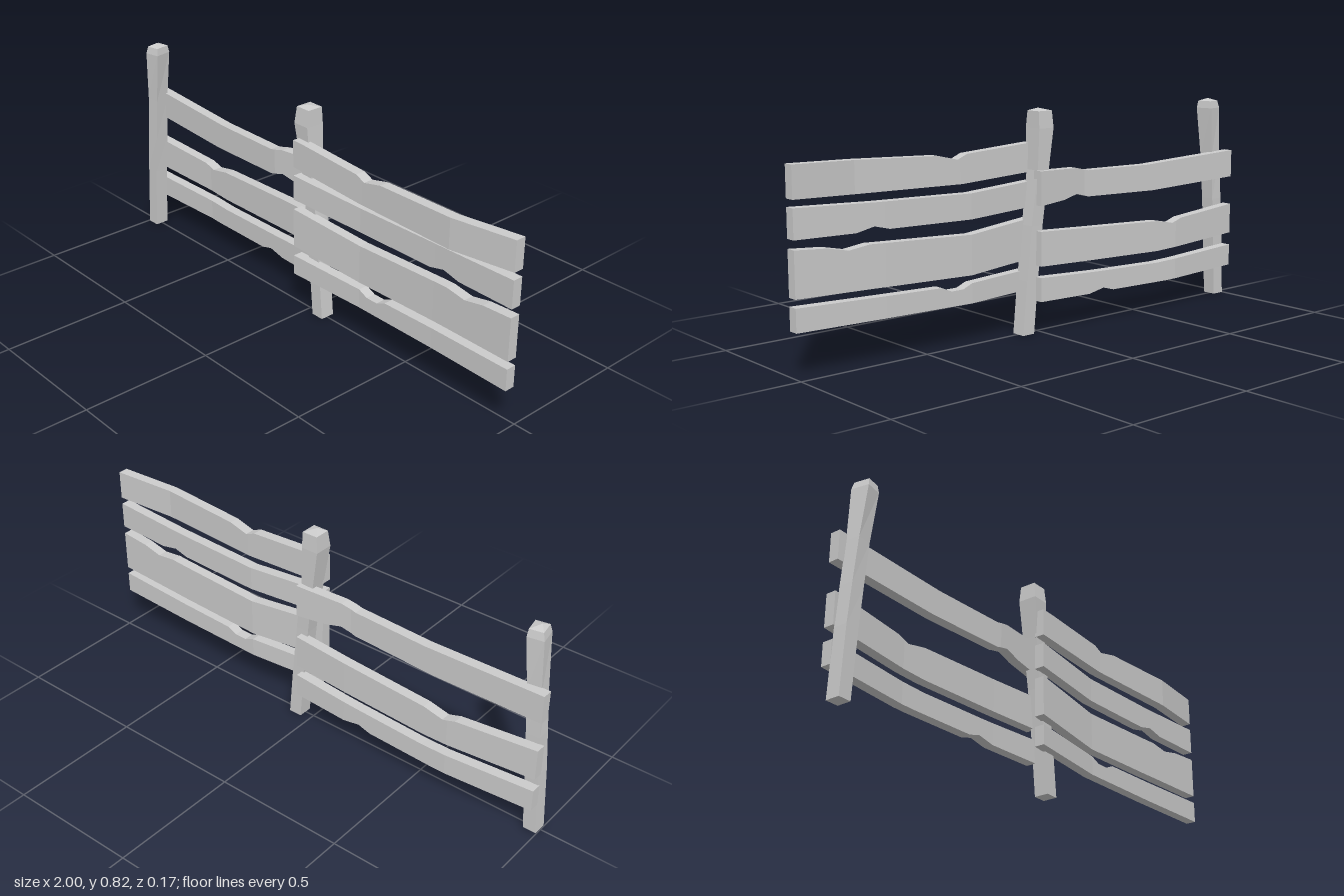
import * as THREE from 'three';

const material = new THREE.MeshStandardMaterial({ color: 0xcccccc, flatShading: true });

// Skin a list of four-cornered cross-sections and close both ends.
function loft(name, sections, peak) {
  const pos = [];
  const tri = (a, b, c) => pos.push(...a, ...b, ...c);
  for (let i = 0; i < sections.length - 1; i++) {
    const a = sections[i], b = sections[i + 1];
    for (let k = 0; k < 4; k++) {
      const n = (k + 1) % 4;
      tri(a[k], a[n], b[n]);
      tri(a[k], b[n], b[k]);
    }
  }
  const first = sections[0], last = sections[sections.length - 1];
  tri(first[0], first[2], first[1]);
  tri(first[0], first[3], first[2]);
  if (peak) {
    for (let k = 0; k < 4; k++) tri(last[k], last[(k + 1) % 4], peak);
  } else {
    tri(last[0], last[1], last[2]);
    tri(last[0], last[2], last[3]);
  }
  const geometry = new THREE.BufferGeometry();
  geometry.setAttribute('position', new THREE.Float32BufferAttribute(pos, 3));
  geometry.computeVertexNormals();
  const mesh = new THREE.Mesh(geometry, material);
  mesh.name = name;
  return mesh;
}

// Piecewise linear value of a list of [x, value] points.
function at(points, x) {
  for (let i = 1; i < points.length; i++) {
    const [x0, v0] = points[i - 1], [x1, v1] = points[i];
    if (x <= x1) return v0 + (v1 - v0) * (x - x0) / (x1 - x0);
  }
  return points[points.length - 1][1];
}

// Plank from its bottom edge, top edge and sideways bow.
function plank(name, bottom, top, bow) {
  const xs = [...new Set([...bottom, ...top, ...bow].map(p => p[0]))].sort((a, b) => a - b);
  const half = 0.0195;
  return loft(name, xs.map(x => {
    const lo = at(bottom, x), hi = at(top, x), z = at(bow, x);
    return [[x, lo, z - half], [x, hi, z - half], [x, hi, z + half], [x, lo, z + half]];
  }));
}

// Post from rows of [y, x, z, half width, half depth, twist].
function post(name, rows, peak) {
  return loft(name, rows.map(([y, x, z, w, d, twist]) => {
    const c = Math.cos(twist), s = Math.sin(twist);
    return [[-1, 1], [1, 1], [1, -1], [-1, -1]].map(([i, j]) =>
      [x + i * w * c + j * d * s, y, z - i * w * s + j * d * c]);
  }), peak);
}

export function createModel() {
  const group = new THREE.Group();
  group.name = 'brokenFence';

  // Crooked posts, flared near the top
  group.add(post('leftPost', [
    [0, -0.972, 0, 0.025, 0.027, 0],
    [0.25, -0.957, -0.002, 0.026, 0.027, 0],
    [0.4, -0.945, -0.003, 0.026, 0.027, 0.03],
    [0.57, -0.931, -0.003, 0.026, 0.027, 0.08],
    [0.77, -0.914, -0.002, 0.03, 0.034, 0.18],
    [0.798, -0.912, -0.002, 0.025, 0.029, 0.18],
  ], [-0.918, 0.808, 0.004]));
  group.add(post('middlePost', [
    [0, 0.065, -0.003, 0.026, 0.028, 0],
    [0.2, 0.047, -0.004, 0.026, 0.028, 0],
    [0.4, 0.026, -0.006, 0.026, 0.027, 0],
    [0.6, 0, -0.006, 0.026, 0.031, 0],
    [0.75, -0.013, -0.002, 0.034, 0.037, 0],
    [0.812, -0.011, -0.004, 0.031, 0.031, 0],
  ], [-0.012, 0.821, 0.006]));

  // Planks on the front of the middle post
  const rightBow = [[-0.027, 0.039], [0.3, 0.019], [0.66, 0.026], [1, 0.039]];
  group.add(plank('rightTopPlank',
    [[-0.027, 0.592], [0.32, 0.573], [0.75, 0.578], [1, 0.588]],
    [[-0.027, 0.696], [0.02, 0.695], [0.3, 0.677], [0.34, 0.66], [0.42, 0.679], [1, 0.7]],
    [[-0.027, 0.039], [0.33, 0.043], [0.75, 0.064], [1, 0.039]]));
  group.add(plank('rightUpperPlank',
    [[-0.027, 0.463], [0.3, 0.449], [0.64, 0.455], [0.7, 0.47], [0.77, 0.455], [1, 0.458]],
    [[-0.027, 0.558], [0.3, 0.541], [0.7, 0.55], [1, 0.561]], rightBow));
  group.add(plank('rightMiddlePlank',
    [[-0.027, 0.274], [0.3, 0.25], [0.72, 0.261], [1, 0.266]],
    [[-0.027, 0.424], [0.3, 0.395], [0.72, 0.412], [0.8, 0.401], [0.88, 0.418], [1, 0.426]], rightBow));
  group.add(plank('rightBottomPlank',
    [[-0.027, 0.158], [0.3, 0.149], [1, 0.155]],
    [[-0.027, 0.234], [0.3, 0.222], [0.34, 0.205], [0.39, 0.205], [0.43, 0.223], [1, 0.237]], rightBow));

  // Planks behind both posts
  const leftBow = [[-0.99, -0.046], [-0.65, -0.064], [-0.2, -0.052], [0.03, -0.041]];
  group.add(plank('leftTopPlank',
    [[-0.99, 0.49], [-0.55, 0.474], [-0.22, 0.482], [-0.16, 0.498], [-0.09, 0.483], [0.03, 0.474]],
    [[-0.99, 0.597], [-0.52, 0.576], [-0.22, 0.58], [-0.16, 0.594], [0.03, 0.6]],
    [[-0.99, -0.046], [-0.62, -0.034], [-0.2, -0.02], [0.03, -0.041]]));
  group.add(plank('leftMiddlePlank',
    [[-0.99, 0.258], [-0.55, 0.239], [0.03, 0.253]],
    [[-0.99, 0.377], [-0.68, 0.356], [-0.63, 0.341], [-0.55, 0.357], [0.03, 0.381]], leftBow));
  group.add(plank('leftBottomPlank',
    [[-0.99, 0.124], [-0.6, 0.116], [-0.32, 0.12], [-0.27, 0.134], [-0.2, 0.12], [0.03, 0.122]],
    [[-0.99, 0.208], [-0.55, 0.193], [-0.25, 0.2], [0.03, 0.211]], leftBow));

  return group;
}
